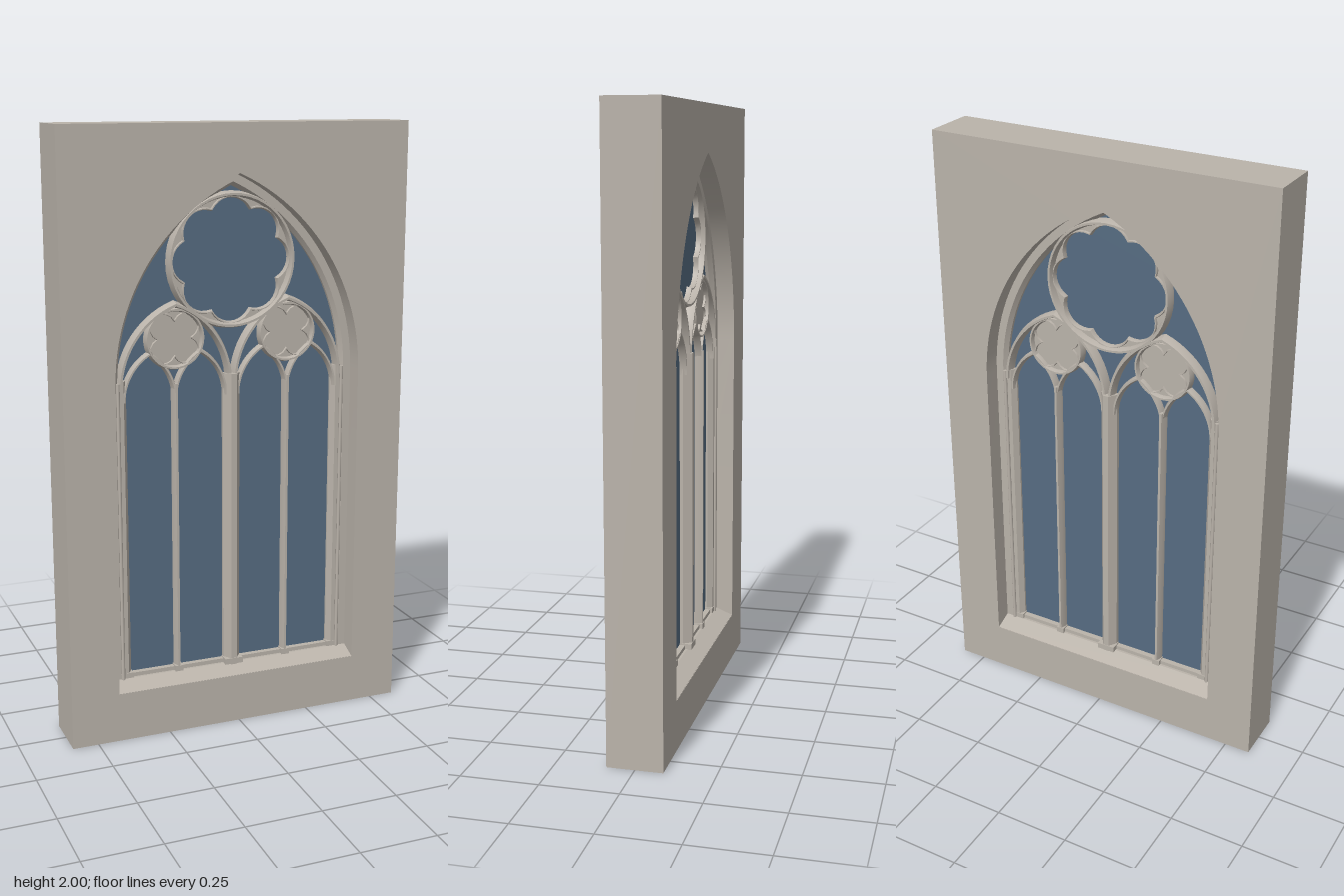
import * as THREE from 'three';
import { toCreasedNormals } from 'three/addons/utils/BufferGeometryUtils.js';

const V = (x, y) => new THREE.Vector2(x, y);

// Pointed arch: right springing -> apex -> left springing
function archPoints(cx, half, springY, rise, n = 14) {
  const r = (rise * rise + half * half) / (2 * half);
  const end = Math.asin(rise / r);
  const right = [];
  for (let i = 0; i <= n; i++) {
    const a = (end * i) / n;
    right.push(V(half - r + r * Math.cos(a), springY + r * Math.sin(a)));
  }
  right[n].x = 0;
  const left = right.slice(0, n).reverse().map(p => V(-p.x, p.y));
  return [...right, ...left].map(p => V(p.x + cx, p.y));
}

// Foiled outline: equal round lobes meeting in cusps
function foilPoints(cx, cy, lobes, c, q, turn, steps = 10) {
  const pts = [];
  for (let k = 0; k < lobes; k++) {
    for (let i = 0; i < steps; i++) {
      const f = (2 * i / steps - 1) * Math.PI / lobes;
      const r = c * Math.cos(f) + Math.sqrt(q * q - (c * Math.sin(f)) ** 2);
      const a = turn + k * 2 * Math.PI / lobes + f;
      pts.push(V(cx + r * Math.cos(a), cy + r * Math.sin(a)));
    }
  }
  return pts;
}

function circlePoints(cx, cy, r, n = 48) {
  return Array.from({ length: n }, (_, i) => {
    const a = i * 2 * Math.PI / n;
    return V(cx + r * Math.cos(a), cy + r * Math.sin(a));
  });
}

// Sweep a convex section of [sideways, z] points along a flat path, with mitred corners
function sweep(path, section, closed = false) {
  const n = path.length, m = section.length, pos = [], idx = [];
  path.forEach((p, i) => {
    const prev = closed ? path[(i + n - 1) % n] : path[Math.max(i - 1, 0)];
    const next = closed ? path[(i + 1) % n] : path[Math.min(i + 1, n - 1)];
    let d1 = p.clone().sub(prev), d2 = next.clone().sub(p);
    if (d1.lengthSq() === 0) d1 = d2.clone();
    if (d2.lengthSq() === 0) d2 = d1.clone();
    d1.normalize();
    d2.normalize();
    const t = d1.clone().add(d2).normalize();
    const k = 1 / Math.max(t.dot(d1), 0.5);
    for (const [o, z] of section) pos.push(p.x - t.y * o * k, p.y + t.x * o * k, z);
  });
  for (let i = 0; i < (closed ? n : n - 1); i++) {
    for (let j = 0; j < m; j++) {
      const i2 = (i + 1) % n, j2 = (j + 1) % m;
      const a = i * m + j, b = i * m + j2, c = i2 * m + j2, d = i2 * m + j;
      idx.push(a, b, c, a, c, d);
    }
  }
  if (!closed) {
    const e = (n - 1) * m;
    for (let j = 1; j < m - 1; j++) idx.push(0, j + 1, j, e, e + j, e + j + 1);
  }
  const g = new THREE.BufferGeometry();
  g.setAttribute('position', new THREE.Float32BufferAttribute(pos, 3));
  g.setIndex(idx);
  return toCreasedNormals(g, 0.5);
}

// Chamfered stone bar section, half width w and half depth d
const bar = (w, d) => [
  [w, -0.35 * d], [w, 0.35 * d], [0.35 * w, d], [-0.35 * w, d],
  [-w, 0.35 * d], [-w, -0.35 * d], [-0.35 * w, -d], [0.35 * w, -d],
];

export function createModel() {
  const group = new THREE.Group();
  const stone = new THREE.MeshStandardMaterial({ color: 0xbab3aa });
  stone.name = 'stone';
  const glass = new THREE.MeshStandardMaterial({ color: 0x566c82 });
  glass.name = 'blueGlass';
  const add = (name, geometry, material = stone) => {
    const mesh = new THREE.Mesh(geometry, material);
    mesh.name = name;
    group.add(mesh);
    return mesh;
  };
  const box = (name, w, h, d, x, y) => add(name, new THREE.BoxGeometry(w, h, d)).position.set(x, y, 0);

  // Wall slab with the arched opening
  const opening = [V(0.425, 0.165), ...archPoints(0, 0.425, 1.19, 0.655, 24), V(-0.425, 0.165)];
  const wallShape = new THREE.Shape([V(-0.587, 0), V(0.587, 0), V(0.587, 2), V(-0.587, 2)]);
  wallShape.holes.push(new THREE.Path(opening));
  const wall = new THREE.ExtrudeGeometry(wallShape, { depth: 0.18, bevelEnabled: false });
  add('wall', toCreasedNormals(wall.translate(0, 0, -0.09), 0.5));

  // Glass pane in the middle of the wall
  const pane = new THREE.ExtrudeGeometry(new THREE.Shape(opening), { depth: 0.006, bevelEnabled: false });
  add('glassPane', pane.translate(0, 0, -0.003), glass);

  // Outer frame following the opening
  add('archFrame', sweep(opening, [
    [-0.005, -0.03], [0.026, -0.03], [0.037, -0.014], [0.037, 0.014], [0.026, 0.03], [-0.005, 0.03],
  ]));

  // Sill sloping down to both wall faces
  const sillShape = new THREE.Shape([
    V(-0.089, 0.16), V(0.089, 0.16), V(0.089, 0.166), V(0.03, 0.19), V(-0.03, 0.19), V(-0.089, 0.166),
  ]);
  const sill = new THREE.ExtrudeGeometry(sillShape, { depth: 0.85, bevelEnabled: false });
  add('sill', sill.translate(0, 0, -0.425).rotateY(Math.PI / 2));
  box('sillLedge', 0.8, 0.015, 0.044, 0, 0.196);

  // Mullions and jamb shafts
  const upright = (name, x, w, d, top) => {
    add(name, sweep([V(x, 0.185), V(x, top)], bar(w, d)));
    box(name + 'Base', w * 2 + 0.006, 0.02, d * 2 + 0.004, x, 0.198);
  };
  upright('centreMullion', 0, 0.029, 0.042, 1.2);
  for (const s of [-1, 1]) {
    upright('sideMullion', s * 0.195, 0.011, 0.032, 1.18);
    upright('jambShaft', s * 0.379, 0.02, 0.028, 1.2);
    for (const z of [-0.03, 0.03]) {
      const roll = add('jambRoll', new THREE.CylinderGeometry(0.006, 0.006, 1.01, 10));
      roll.position.set(s * 0.392, 0.69, z);
    }
  }

  // Foiled window: pierced ring with rim and bead mouldings
  const rose = (name, cx, cy, r, foil, rimW, beadW, d) => {
    const shape = new THREE.Shape(circlePoints(cx, cy, r));
    shape.holes.push(new THREE.Path(foil));
    const plate = new THREE.ExtrudeGeometry(shape, { depth: 0.026, bevelEnabled: false });
    add(name + 'Plate', toCreasedNormals(plate.translate(0, 0, -0.013), 0.5));
    add(name + 'Rim', sweep(circlePoints(cx, cy, r), bar(rimW, d), true));
    add(name + 'Bead', sweep(foil, bar(beadW, 0.02), true));
  };
  rose('greatFoil', 0, 1.567, 0.21, foilPoints(0, 1.567, 8, 0.127, 0.076, Math.PI / 2), 0.01, 0.005, 0.034);

  for (const s of [-1, 1]) {
    // Arch over each pair of lights, with its four-lobed window
    add('pairArch', sweep(archPoints(s * 0.195, 0.187, 1.17, 0.265), bar(0.011, 0.034)));
    rose('smallFoil', s * 0.195, 1.325, 0.094,
      foilPoints(s * 0.195, 1.325, 4, 0.055, 0.043, Math.PI / 4), 0.008, 0.004, 0.028);

    // Pointed head of each light
    for (const x of [0.108, 0.282]) {
      add('lightHead', sweep(archPoints(s * x, 0.087, 1.13, 0.15), bar(0.008, 0.026)));
    }
  }
  return group;
}
